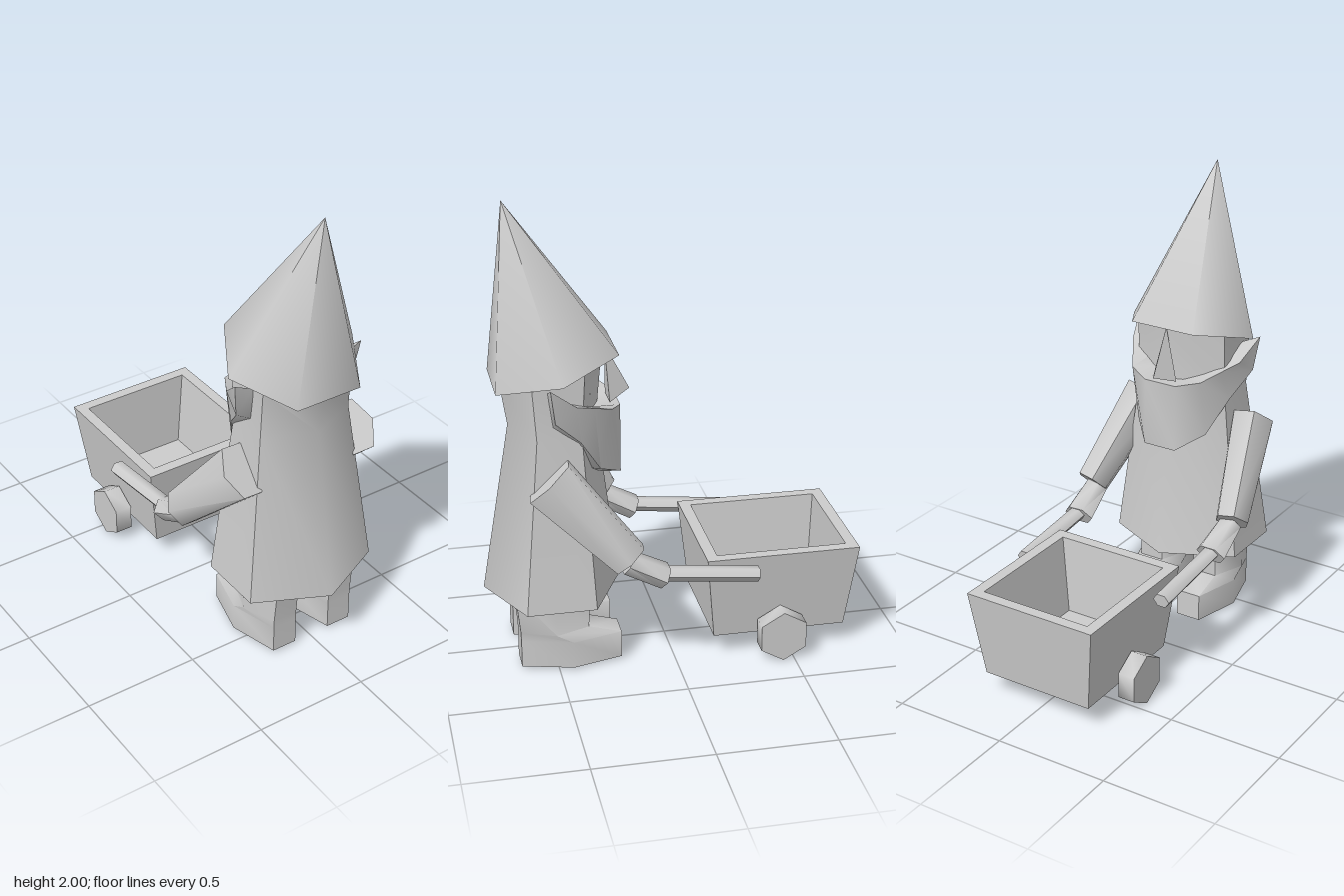
import * as THREE from 'three';
import { toCreasedNormals } from 'three/addons/utils/BufferGeometryUtils.js';

const V = (x, y, z) => new THREE.Vector3(x, y, z);

// Closed skin over a stack of rings with equal point counts, ends capped
function loft(rings) {
  const tris = [];
  const add = (a, b, c) => {
    const area = b.clone().sub(a).cross(c.clone().sub(a)).length();
    if (area > 1e-7) tris.push([a, b, c]);
  };
  const n = rings[0].length;
  for (let r = 0; r < rings.length - 1; r++) {
    for (let i = 0; i < n; i++) {
      const j = (i + 1) % n, p = rings[r], q = rings[r + 1];
      add(p[i], p[j], q[j]);
      add(p[i], q[j], q[i]);
    }
  }
  const first = rings[0], last = rings[rings.length - 1];
  for (let i = 1; i < n - 1; i++) {
    add(first[0], first[i + 1], first[i]);
    add(last[0], last[i], last[i + 1]);
  }
  // Turn the faces outward
  const volume = tris.reduce((s, [a, b, c]) => s + a.dot(b.clone().cross(c)), 0);
  if (volume < 0) tris.forEach(t => t.reverse());
  const geo = new THREE.BufferGeometry().setFromPoints(tris.flat());
  return toCreasedNormals(geo, 1.1);
}

// Horizontal hexagon; pointed = corners on the z axis, otherwise flat front and back
function hexRing(cx, y, zBack, zFront, halfX, pointed) {
  const cz = (zBack + zFront) / 2, rz = (zBack - zFront) / 2;
  return Array.from({ length: 6 }, (_, i) => {
    const a = (i + (pointed ? 0.5 : 0)) * Math.PI / 3, k = Math.cos(Math.PI / 6);
    const x = Math.cos(a) * halfX / (pointed ? k : 1);
    const z = cz + Math.sin(a) * rz / (pointed ? 1 : k);
    return V(cx + x, typeof y === 'function' ? y(z) : y, z);
  });
}

// Six-sided limb between two points, with a width across x and a thickness across the limb
function limb(a, b, startSize, endSize) {
  const dir = b.clone().sub(a).normalize();
  const side = V(1, 0, 0).addScaledVector(dir, -dir.x).normalize();
  const up = dir.clone().cross(side);
  const ring = (p, [w, h]) => Array.from({ length: 6 }, (_, i) => {
    const t = i * Math.PI / 3;
    return p.clone().addScaledVector(side, Math.cos(t) * w)
      .addScaledVector(up, Math.sin(t) * h / Math.cos(Math.PI / 6));
  });
  return loft([ring(a, startSize), ring(b, endSize)]);
}

const rectRing = (hx, y, z0, z1) => [V(-hx, y, z0), V(hx, y, z0), V(hx, y, z1), V(-hx, y, z1)];

export function createModel() {
  const model = new THREE.Group();
  model.name = 'gardenFigureWithCart';
  const grey = new THREE.MeshStandardMaterial({ color: 0xcccccc });
  grey.name = 'stone grey';
  const add = (name, geo, parent = model) => {
    const mesh = new THREE.Mesh(geo, grey);
    mesh.name = name;
    parent.add(mesh);
    return mesh;
  };

  // Hat and head share the tilted brim plane
  const brim = z => 1.24 + (0.72 - z) * 0.265;
  const tip = Array.from({ length: 6 }, () => V(0, 2, 0.655));
  add('hat', loft([hexRing(0, brim, 0.72, 0.215, 0.3, false), tip]));
  add('robeAndHead', loft([
    hexRing(0, 0.31, 0.785, 0.2, 0.305, true),
    hexRing(0, 1.05, 0.66, 0.29, 0.216, true),
    hexRing(0, brim, 0.69, 0.26, 0.216, true),
  ]));

  // Nose: a narrow wedge under the brim
  const noseTop = [0, 1, 2].map(() => V(0, 1.37, 0.25));
  add('nose', loft([noseTop, [V(0, 1.17, 0.147), V(0.058, 1.135, 0.24), V(-0.058, 1.135, 0.24)]]));

  // Beard: band from ear to ear; each section is outer top, outer bottom, inner bottom, inner top
  const beardHalf = [
    [[0.305, 1.3, 0.52], [0.305, 1.3, 0.52], [0.22, 1.26, 0.52], [0.22, 1.26, 0.52]],
    [[0.27, 1.21, 0.41], [0.285, 1.15, 0.5], [0.2, 1.1, 0.5], [0.19, 1.2, 0.43]],
    [[0.22, 1.18, 0.33], [0.235, 1.04, 0.39], [0.17, 1.02, 0.42], [0.15, 1.17, 0.38]],
    [[0.17, 1.15, 0.25], [0.17, 0.89, 0.3], [0.12, 0.88, 0.36], [0.1, 1.14, 0.34]],
    [[0.075, 1.13, 0.2], [0.075, 0.83, 0.2], [0.06, 0.83, 0.28], [0.05, 1.12, 0.31]],
  ];
  const section = s => pts => pts.map(([x, y, z]) => V(s * x, y, z));
  add('beard', loft([...beardHalf.map(section(1)), ...beardHalf.slice().reverse().map(section(-1))]));

  // Cart tray: outer wall, rim, inner wall and floor in one skin
  add('cartTray', loft([
    rectRing(0.255, 0.1, -0.74, -0.165),
    rectRing(0.303, 0.483, -0.787, -0.125),
    rectRing(0.254, 0.483, -0.738, -0.175),
    rectRing(0.21, 0.145, -0.712, -0.2),
  ]));

  // Paired parts
  for (const s of [1, -1]) {
    const side = new THREE.Group();
    side.name = s > 0 ? 'leftParts' : 'rightParts';
    model.add(side);

    add('arm', limb(V(s * 0.275, 0.9, 0.53), V(s * 0.36, 0.56, 0.215), [0.095, 0.108], [0.075, 0.074]), side);
    add('hand', limb(V(s * 0.345, 0.54, 0.225), V(s * 0.34, 0.46, 0.07), [0.055, 0.045], [0.07, 0.046]), side);
    add('cartHandle', limb(V(s * 0.343, 0.475, 0.1), V(s * 0.343, 0.428, -0.332), [0.038, 0.028], [0.038, 0.028]), side);

    // Leg and boot: lower rings reach forward for the toe
    add('legAndBoot', loft([
      hexRing(s * 0.14, 0.015, 0.655, 0.225, 0.112, false),
      hexRing(s * 0.14, 0.135, 0.655, 0.225, 0.112, false),
      hexRing(s * 0.14, 0.175, 0.656, 0.365, 0.112, false),
      hexRing(s * 0.14, 0.36, 0.675, 0.36, 0.108, false),
    ]), side);

    const wheel = new THREE.CylinderGeometry(0.113, 0.113, 0.077, 6);
    wheel.rotateZ(Math.PI / 2);
    // Put a corner at the bottom of the wheel
    const pos = wheel.attributes.position;
    const highest = Math.max(...Array.from({ length: pos.count }, (_, i) => pos.getY(i)));
    if (highest < 0.11) wheel.rotateX(Math.PI / 6);
    wheel.translate(s * 0.313, 0.115, -0.45);
    add('wheel', toCreasedNormals(wheel, 1.1), side);
  }
  return model;
}
